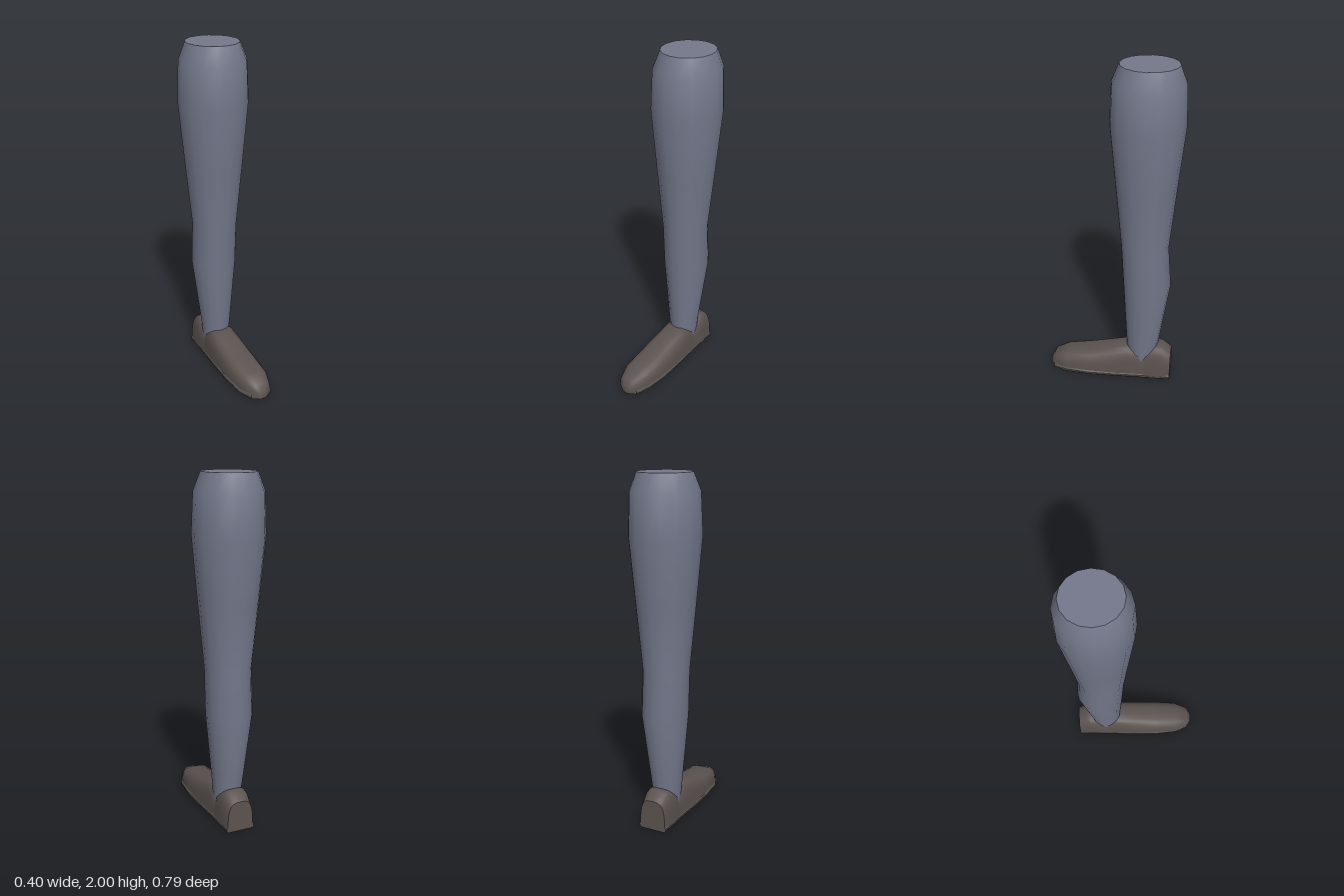
import * as THREE from 'three';
import { toCreasedNormals } from 'three/addons/utils/BufferGeometryUtils.js';

// Skin closed rings of equal length, counter-clockwise seen from the last ring, capped at both ends
function loft(rings, crease) {
  const n = rings[0].length, pos = rings.flat(2), idx = [];
  for (let i = 0; i < rings.length - 1; i++) {
    for (let j = 0; j < n; j++) {
      const a = i * n + j, b = i * n + (j + 1) % n;
      idx.push(a, b, b + n, a, b + n, a + n);
    }
  }
  const last = (rings.length - 1) * n;
  for (let j = 1; j < n - 1; j++) idx.push(0, j + 1, j, last, last + j, last + j + 1);
  const g = new THREE.BufferGeometry();
  g.setAttribute('position', new THREE.Float32BufferAttribute(pos, 3));
  g.setIndex(idx);
  return toCreasedNormals(g, crease);
}

// Elliptical leg ring: height, half width, front z, back z
function legRing([y, w, front, back]) {
  const ring = [];
  for (let j = 0; j < 16; j++) {
    const a = j * Math.PI / 8;
    ring.push([w * Math.cos(a), y, (front + back) / 2 - (front - back) / 2 * Math.sin(a)]);
  }
  return ring;
}

// Arched shoe section: z, half width, top height, squareness power
function shoeRing([z, w, top, p]) {
  const ring = [], base = 0.012;
  for (let j = 0; j <= 14; j++) {
    const a = j * Math.PI / 14, c = Math.cos(a), s = Math.max(0, Math.sin(a));
    ring.push([w * Math.sign(c) * Math.abs(c) ** p, base + (top - base) * s ** p, z]);
  }
  return ring;
}

export function createModel() {
  const group = new THREE.Group();
  const cloth = new THREE.MeshStandardMaterial({ name: 'greyBlueCloth', color: 0x74788b });
  const leather = new THREE.MeshStandardMaterial({ name: 'brownLeather', color: 0x5b5350 });
  const add = (name, geometry, material) => {
    const mesh = new THREE.Mesh(geometry, material);
    mesh.name = name;
    group.add(mesh);
  };

  // Leg from inside the shoe up to the cut thigh
  add('leg', loft([
    [0.10, 0.078, -0.10, -0.27],
    [0.22, 0.086, -0.085, -0.282],
    [0.66, 0.132, -0.06, -0.345],
    [0.92, 0.131, -0.046, -0.325],
    [1.30, 0.167, -0.012, -0.36],
    [1.67, 0.199, 0.022, -0.396],
    [1.90, 0.189, 0.012, -0.388],
    [2.00, 0.15, -0.03, -0.35],
  ].map(legRing), 0.7), cloth);

  // Shoe upper, heel to toe, pinched at the ankle so the leg shows through
  add('shoeUpper', loft([
    [-0.365, 0.078, 0.18, 0.6],
    [-0.31, 0.086, 0.22, 0.55],
    [-0.28, 0.088, 0.226, 0.52],
    [-0.215, 0.09, 0.195, 0.5],
    [-0.19, 0.089, 0.185, 0.75],
    [-0.165, 0.09, 0.195, 0.5],
    [-0.10, 0.094, 0.212, 0.52],
    [0.00, 0.101, 0.185, 0.58],
    [0.15, 0.104, 0.146, 0.6],
    [0.29, 0.095, 0.122, 0.62],
    [0.37, 0.064, 0.09, 0.65],
    [0.397, 0.025, 0.035, 0.7],
  ].map(shoeRing), 0.8), leather);

  // Thin sole with a bulging rim and a square heel
  const half = [[0.085, -0.365], [0.088, -0.28], [0.095, -0.15], [0.105, 0],
    [0.111, 0.15], [0.10, 0.29], [0.068, 0.37], [0.02, 0.397]];
  const outline = [...half.map(([x, z]) => [-x, z]), ...half.slice().reverse()];
  const soleRings = [[0, 0.9], [0.01, 0.99], [0.022, 1], [0.032, 0.93]]
    .map(([y, s]) => outline.map(([x, z]) => [x * s, y, z]));
  add('sole', loft(soleRings, 0.6), leather);

  return group;
}
